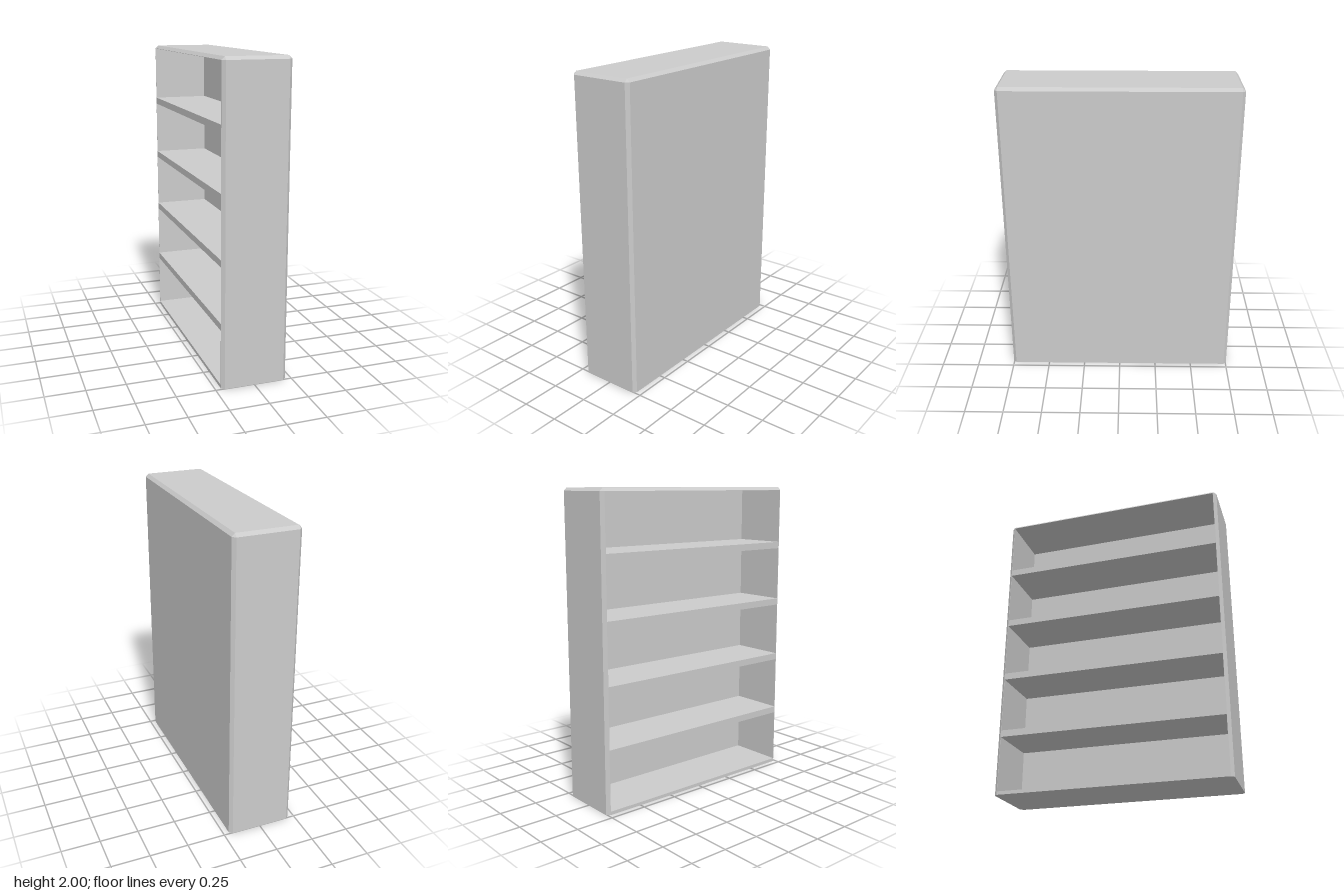
import * as THREE from 'three';
import { ConvexGeometry } from 'three/addons/geometries/ConvexGeometry.js';

const HX = 0.213, HZ = 0.755, H = 2; // half depth, half width, height
const BEVEL = 0.02, PANEL = 0.022, SHELF = 0.044, PITCH = 0.4;
const BACK = 0.157; // inner face of the back panel

export function createModel() {
  const group = new THREE.Group();
  const material = new THREE.MeshStandardMaterial({ color: 0xcccccc, flatShading: true });
  const add = (name, geometry, x = 0, y = 0, z = 0) => {
    const mesh = new THREE.Mesh(geometry, material);
    mesh.name = name;
    mesh.position.set(x, y, z);
    group.add(mesh);
  };

  // Back and sides: U-shaped plan with bevelled corners, open towards -x
  const ix = HX - BEVEL, iz = HZ - BEVEL, wz = HZ - PANEL;
  const plan = new THREE.Shape([
    [-HX, -iz], [-ix, -HZ], [ix, -HZ], [HX, -iz], [HX, iz], [ix, HZ], [-ix, HZ], [-HX, iz],
    [-HX, wz], [BACK, wz], [BACK, -wz], [-HX, -wz],
  ].map(([x, z]) => new THREE.Vector2(x, z)));
  const walls = new THREE.ExtrudeGeometry(plan, { depth: H - PANEL, bevelEnabled: false });
  walls.rotateX(-Math.PI / 2);
  add('backAndSides', walls);

  // Top panel with bevelled rim
  const points = [];
  for (const sx of [-1, 1]) for (const sz of [-1, 1]) {
    points.push(new THREE.Vector3(sx * ix, H, sz * iz));
    for (const y of [H - PANEL, H - BEVEL]) {
      points.push(new THREE.Vector3(sx * HX, y, sz * iz), new THREE.Vector3(sx * ix, y, sz * HZ));
    }
  }
  add('topPanel', new ConvexGeometry(points));

  // Bottom panel and four evenly spaced shelves
  const depth = BACK + HX, cx = (BACK - HX) / 2;
  add('bottomPanel', new THREE.BoxGeometry(depth, PANEL, 2 * wz), cx, PANEL / 2, 0);
  for (let i = 1; i <= 4; i++) {
    add('shelf' + i, new THREE.BoxGeometry(depth, SHELF, 2 * wz), cx, i * PITCH, 0);
  }
  return group;
}
